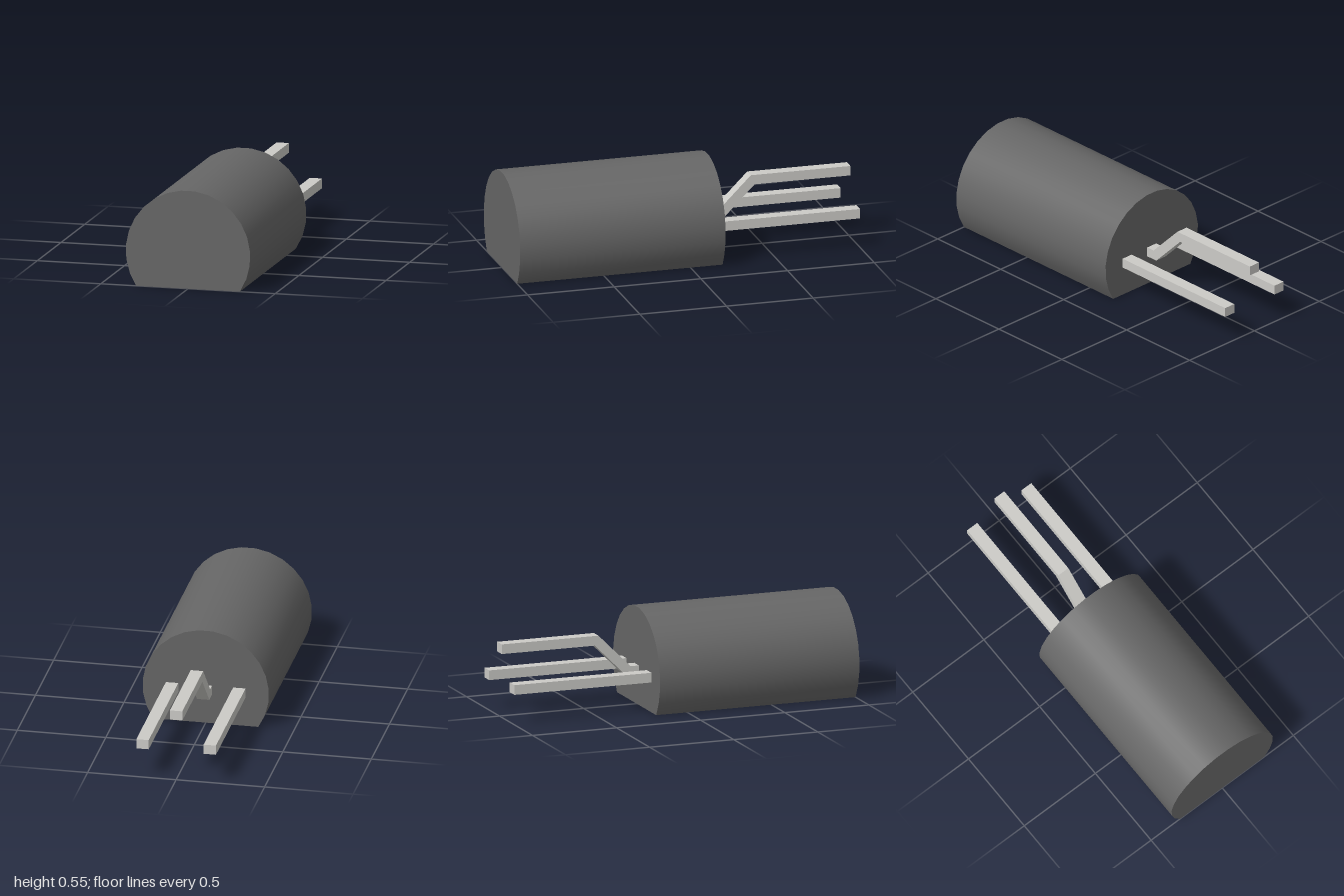
import * as THREE from 'three';
import { toCreasedNormals } from 'three/addons/utils/BufferGeometryUtils.js';

const BACK = -0.185; // rear face of the body, where the leads come out
const bodyMaterial = new THREE.MeshStandardMaterial({ color: 0x666666 });
const leadMaterial = new THREE.MeshStandardMaterial({ color: 0xcccbc7 });

// Round body with a flat underside
function createBody() {
  const radius = 0.357, centreY = 0.198, segments = 19;
  const start = -Math.asin(centreY / radius);
  const step = (Math.PI - 2 * start) / segments;
  const points = [];
  for (let i = 0; i <= segments; i++) {
    const a = start + i * step;
    points.push(new THREE.Vector2(radius * Math.cos(a), centreY + radius * Math.sin(a)));
  }
  const geometry = new THREE.ExtrudeGeometry(new THREE.Shape(points), { depth: 1 - BACK, bevelEnabled: false });
  geometry.translate(0, 0, BACK);
  const body = new THREE.Mesh(toCreasedNormals(geometry, 0.5), bodyMaterial);
  body.name = 'body';
  return body;
}

// Square lead: a side profile in (-z, y), extruded across x
function createLead(name, x, profile) {
  const width = 0.07;
  const shape = new THREE.Shape(profile.map(([u, y]) => new THREE.Vector2(u, y)));
  const geometry = new THREE.ExtrudeGeometry(shape, { depth: width, bevelEnabled: false });
  geometry.translate(0, 0, -width / 2);
  geometry.rotateY(Math.PI / 2);
  const lead = new THREE.Mesh(geometry, leadMaterial);
  lead.name = name;
  lead.position.x = x;
  return lead;
}

export function createModel() {
  const group = new THREE.Group();
  group.name = 'threeLeadComponent';
  const low = 0.17, high = 0.225, rise = 0.19;

  const straight = [[-BACK, low], [1, low], [1, high], [-BACK, high]];
  // Middle lead steps up at 45 degrees, then runs straight back
  const bent = [
    [-BACK, low], [0.257, low], [0.257 + rise, low + rise], [1, low + rise],
    [1, high + rise], [0.235 + rise, high + rise], [0.235, high], [-BACK, high],
  ];

  group.add(
    createBody(),
    createLead('leftLead', 0.19, straight),
    createLead('middleLead', 0, bent),
    createLead('rightLead', -0.19, straight),
  );
  return group;
}
